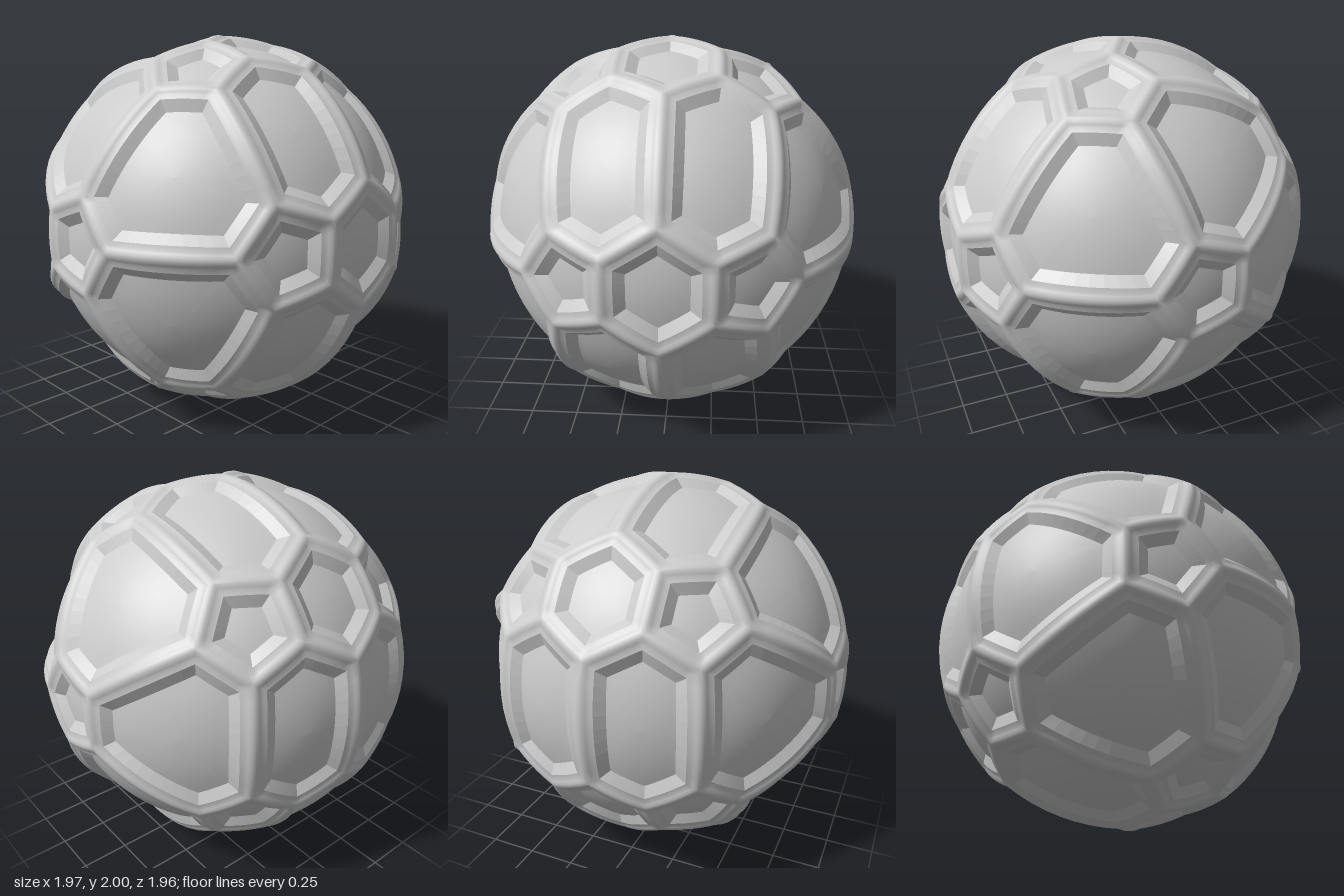
import * as THREE from 'three';
import { mergeVertices } from 'three/addons/utils/BufferGeometryUtils.js';

const DEG = Math.PI / 180;
const SEG = 8; // subdivisions of each polygon edge
const RING_LAT = Math.atan(0.5); // latitude of the ring pentagons
const PENTAGON = 14.3 * DEG; // angular radius of every pentagon
const BELT = 17.9; // half angle of a belt hexagon, degrees

// Cross-section from the seam inwards: [distance from seam, radius]
const RIDGE = [[0, 1], [0.013, 0.998], [0.026, 0.991], [0.038, 0.984], [0.06, 0.98]];
const BEVEL = [[0.06, 0.98], [0.107, 0.942]];

// Point on the unit sphere, theta (degrees) running round the z axis
function onSphere(theta, lat) {
  const t = theta * DEG;
  return new THREE.Vector3(Math.cos(t) * Math.cos(lat), Math.sin(t) * Math.cos(lat), Math.sin(lat));
}

// Corner k of the regular ring pentagon at angle theta (k = 0 points to the pole)
function ringCorner(theta, k) {
  const centre = onSphere(theta, RING_LAT);
  const north = onSphere(theta, RING_LAT + Math.PI / 2);
  const east = onSphere(theta + 90, 0);
  const a = k * 72 * DEG;
  return centre.multiplyScalar(Math.cos(PENTAGON))
    .addScaledVector(north, Math.sin(PENTAGON) * Math.cos(a))
    .addScaledVector(east, Math.sin(PENTAGON) * Math.sin(a));
}

// Middle direction of a polygon
function middle(poly) {
  return poly.reduce((s, p) => s.add(p), new THREE.Vector3()).normalize();
}

// All 37 polygons: 12 pentagons and 25 hexagons
function makeFaces() {
  const faces = [];
  const add = (kind, pts) => {
    const turn = new THREE.Vector3().crossVectors(pts[0], pts[1]).dot(middle(pts));
    faces.push({ kind, pts: turn > 0 ? pts : pts.reverse() });
  };
  const pole = (t) => onSphere(t, Math.PI / 2 - PENTAGON);
  const belt = (t) => onSphere(t, 0);
  for (const side of [1, -1]) {
    const place = (kind, pts) => add(kind, pts.map((p) => p.setZ(p.z * side)));
    place('pentagon', [0, 1, 2, 3, 4].map((k) => pole(72 * k)));
    for (let i = 0; i < 5; i++) {
      const t = 72 * i, u = t + 72;
      place('pentagon', [0, 1, 2, 3, 4].map((k) => ringCorner(t, k)));
      place('polarHexagon', [pole(t), pole(u), ringCorner(u, 0), ringCorner(u, 4), ringCorner(t, 1), ringCorner(t, 0)]);
      place('sideHexagon', [ringCorner(t, 1), ringCorner(u, 4), ringCorner(u, 3), belt(u - BELT), belt(t + BELT), ringCorner(t, 2)]);
    }
  }
  for (let t = 0; t < 360; t += 72) {
    const low = (k) => ringCorner(t, k).multiply(new THREE.Vector3(1, 1, -1));
    add('beltHexagon', [ringCorner(t, 2), belt(t + BELT), low(2), low(3), belt(t - BELT), ringCorner(t, 3)]);
  }
  return faces;
}

// Spherical polygon with every edge moved inwards by the same distance
function inset(poly, distance) {
  const n = poly.length, k = Math.sin(distance);
  const normals = poly.map((p, i) => new THREE.Vector3().crossVectors(p, poly[(i + 1) % n]).normalize());
  return poly.map((_, i) => {
    const n1 = normals[(i + n - 1) % n], n2 = normals[i];
    const c = n1.dot(n2), a = k / (1 + c);
    const out = new THREE.Vector3().crossVectors(n1, n2).normalize();
    out.multiplyScalar(Math.sqrt(1 - 2 * a * a * (1 + c)));
    return out.addScaledVector(n1, a).addScaledVector(n2, a);
  });
}

// Closed loop of points along the polygon's edges
function loop(poly, radius) {
  return poly.flatMap((p, i) => Array.from({ length: SEG }, (_, j) =>
    p.clone().lerp(poly[(i + 1) % poly.length], j / SEG).setLength(radius)));
}

// Quads between successive loops, from the outer to the inner one
function skin(loops, out) {
  for (let r = 0; r + 1 < loops.length; r++) {
    const a = loops[r], b = loops[r + 1], n = a.length;
    for (let i = 0; i < n; i++) {
      const j = (i + 1) % n;
      for (const p of [a[i], a[j], b[j], a[i], b[j], b[i]]) out.push(p.x, p.y, p.z);
    }
  }
}

export function createModel() {
  const model = new THREE.Group();
  model.name = 'panelledBall';
  const material = new THREE.MeshStandardMaterial({ color: 0xcccccc });
  const flat = new THREE.MeshStandardMaterial({ color: 0xcccccc, flatShading: true });

  const addMesh = (name, positions, mat) => {
    let geometry = new THREE.BufferGeometry();
    geometry.setAttribute('position', new THREE.Float32BufferAttribute(positions, 3));
    geometry = mergeVertices(geometry, 1e-4);
    geometry.computeVertexNormals();
    const mesh = new THREE.Mesh(geometry, mat);
    mesh.name = name;
    mesh.position.set(0.0175, 1, 0);
    model.add(mesh);
  };

  const ridges = [], bevels = [], panels = {};
  for (const { kind, pts } of makeFaces()) {
    const ringAt = ([d, r]) => loop(inset(pts, d), r);
    skin(RIDGE.map(ringAt), ridges);
    skin(BEVEL.map(ringAt), bevels);

    // Sunken curved panel, closing towards its middle
    const [depth, radius] = BEVEL[1];
    const floor = inset(pts, depth), centre = middle(floor);
    const rings = [0, 0.2, 0.4, 0.6, 0.8, 0.99].map((t) =>
      loop(floor, radius).map((p) => p.lerp(centre.clone().multiplyScalar(radius), t).setLength(radius)));
    panels[kind] ??= [];
    skin(rings, panels[kind]);
    const last = rings[5], tip = centre.multiplyScalar(radius);
    last.forEach((p, i) => {
      for (const q of [p, last[(i + 1) % last.length], tip]) panels[kind].push(q.x, q.y, q.z);
    });
  }

  addMesh('seamRidges', ridges, material);
  addMesh('panelBevels', bevels, flat);
  for (const kind in panels) addMesh(kind + 'Panels', panels[kind], material);
  return model;
}
